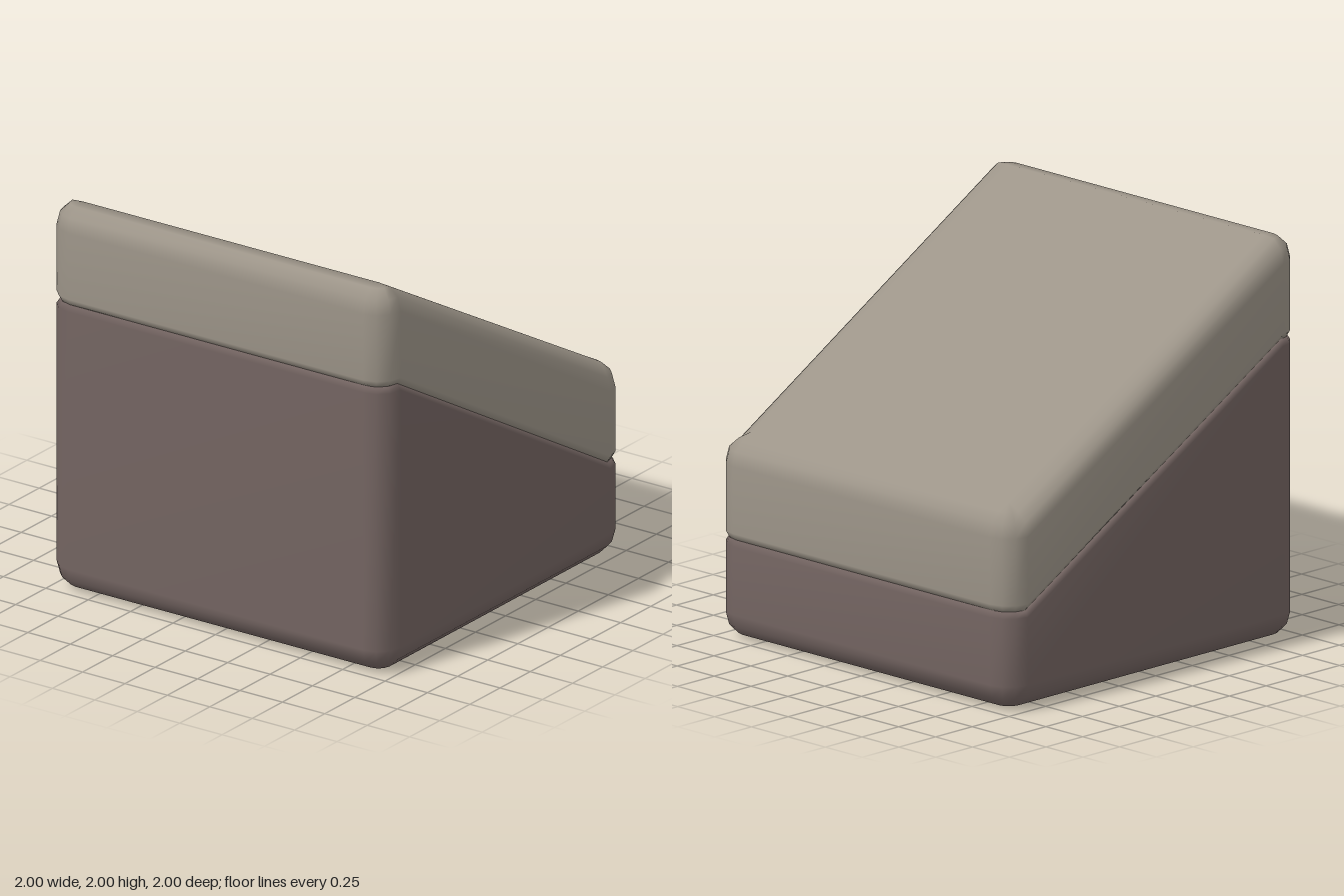
import * as THREE from 'three';
import { mergeVertices } from 'three/addons/utils/BufferGeometryUtils.js';

const R = 0.13;        // bevel radius
const CORE = 1 - R;    // half width inside the bevel
const SEGS = 3;        // segments per rounded corner

// One horizontal outline: a rounded square whose height runs from yLeft (-x) to yRight (+x)
function ring([inset, yLeft, yRight]) {
  const points = [];
  for (const [q, sx, sz] of [[0, 1, 1], [1, -1, 1], [2, -1, -1], [3, 1, -1]]) {
    for (let i = 0; i <= SEGS; i++) {
      const a = (q + i / SEGS) * Math.PI / 2;
      const x = sx * CORE + (R - inset) * Math.cos(a);
      const z = sz * CORE + (R - inset) * Math.sin(a);
      const t = THREE.MathUtils.clamp((x + CORE) / (2 * CORE), 0, 1);
      points.push(x, THREE.MathUtils.lerp(yLeft, yRight, t), z);
    }
  }
  return points;
}

// Skin the outlines from bottom to top and close both ends
function loft(rows) {
  const n = 4 * (SEGS + 1);
  const positions = rows.flatMap(ring);
  const first = rows[0], last = rows[rows.length - 1];
  const bottom = rows.length * n, top = bottom + 1;
  positions.push(0, (first[1] + first[2]) / 2, 0, 0, (last[1] + last[2]) / 2, 0);
  const index = [];
  for (let j = 0; j < n; j++) {
    const k = (j + 1) % n;
    for (let r = 0; r < rows.length - 1; r++) {
      const a = r * n + j, b = r * n + k;
      index.push(a, a + n, b, b, a + n, b + n);
    }
    const end = (rows.length - 1) * n;
    index.push(bottom, j, k, top, end + k, end + j);
  }
  const geometry = new THREE.BufferGeometry();
  geometry.setAttribute('position', new THREE.Float32BufferAttribute(positions, 3));
  geometry.setIndex(index);
  const merged = mergeVertices(geometry, 1e-4);
  merged.computeVertexNormals();
  return merged;
}

function block(name, rows, color) {
  const mesh = new THREE.Mesh(loft(rows), new THREE.MeshStandardMaterial({ color }));
  mesh.name = name;
  return mesh;
}

export function createModel() {
  const group = new THREE.Group();
  group.name = 'slopedBlock';

  // Wedge-shaped base: rounded underside, small bevel at the seam
  group.add(block('base', [
    [R, 0, 0], [0.065, 0.017, 0.017], [0.017, 0.065, 0.065], [0, R, R],
    [0, 1.47, 0.47], [0.02, 1.5, 0.5], [R, 1.5, 0.5],
  ], 0x736461));

  // Sloped slab on top: small bevel at the seam, rounded upper edges
  group.add(block('topLayer', [
    [R, 1.5, 0.5], [0.02, 1.5, 0.5], [0, 1.535, 0.535],
    [0, 1.88, 0.87], [0.017, 1.95, 0.94], [0.065, 1.995, 0.985], [R, 2, 1.02],
  ], 0x9c9488));

  return group;
}
